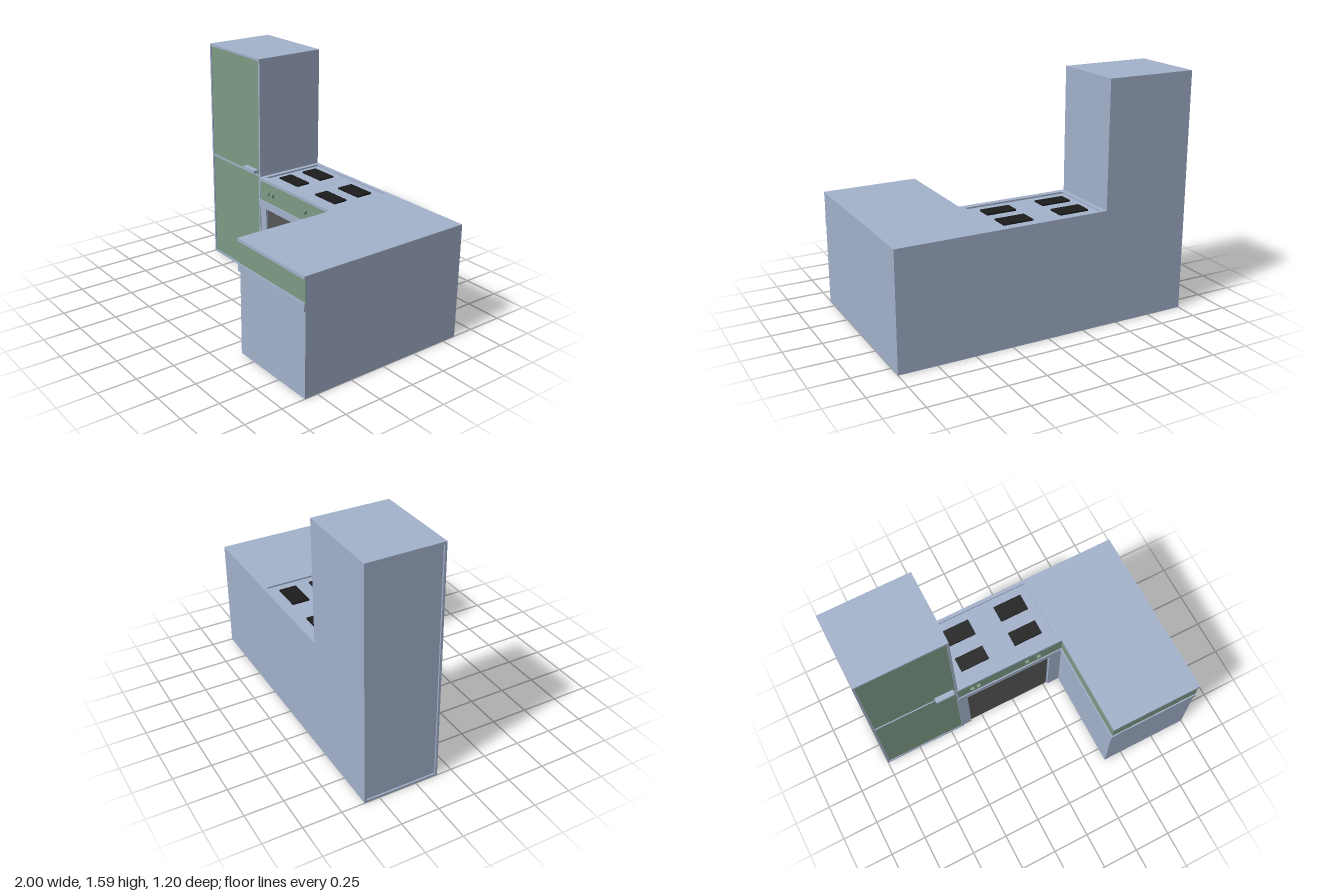
import * as THREE from 'three';

const mat = (color) => new THREE.MeshStandardMaterial({ color });

export function createModel() {
  const root = new THREE.Group();
  const body = mat(0xa3b2cc), green = mat(0x7d9a85), dark = mat(0x565656), black = mat(0x1c1c1c);

  function add(name, geometry, material, parent = root) {
    const mesh = new THREE.Mesh(geometry, material);
    mesh.name = name;
    parent.add(mesh);
    return mesh;
  }

  // Box given by its lower and upper limits on each axis
  function box(name, [x0, x1], [y0, y1], [z0, z1], material, parent) {
    const mesh = add(name, new THREE.BoxGeometry(x1 - x0, y1 - y0, z1 - z0), material, parent);
    mesh.position.set((x0 + x1) / 2, (y0 + y1) / 2, (z0 + z1) / 2);
    return mesh;
  }

  const rect = (x0, x1, y0, y1) => [[x0, y0], [x1, y0], [x1, y1], [x0, y1]];
  const vecs = (points) => points.map((p) => new THREE.Vector2(...p));

  function prism(outline, holes, depth) {
    const shape = new THREE.Shape(vecs(outline));
    holes.forEach((h) => shape.holes.push(new THREE.Path(vecs(h))));
    return new THREE.ExtrudeGeometry(shape, { depth, bevelEnabled: false });
  }

  // Horizontal slab: outline in x and z, raised from y0 to y1
  function slab(name, outline, holes, y0, y1) {
    const geometry = prism(outline, holes, y1 - y0);
    geometry.rotateX(Math.PI / 2).translate(0, y1, 0);
    return add(name, geometry, body);
  }

  // L-shaped plan; lip pushes the inner and front edges outward
  const plan = (lip, notch = []) => [
    [-0.4 - lip, -0.6], [1, -0.6], [1, 0.59 + lip], [0.37 - lip, 0.59 + lip],
    [0.37 - lip, -0.105 + lip], ...notch, [-0.4 - lip, -0.105 + lip],
  ];

  // Base cabinets, with a shallow niche for the oven
  const niche = [[0.28, -0.105], [0.28, -0.12], [-0.34, -0.12], [-0.34, -0.105]];
  slab('lowerCabinet', plan(0, niche), [], 0, 0.555);
  slab('rail', plan(0.01), [], 0.555, 0.605);
  slab('upperCabinet', plan(0), [], 0.605, 0.747);
  box('ovenDoor', [-0.335, 0.27], [0.01, 0.545], [-0.122, -0.115], dark);

  // Green drawer fronts on the three inner faces
  const drawerY = [0.605, 0.747];
  box('ovenFascia', [-0.4, 0.37], drawerY, [-0.11, -0.103], green);
  box('sideDrawerFront', [0.368, 0.374], drawerY, [-0.105, 0.592], green);
  box('endDrawerFront', [0.368, 1], drawerY, [0.586, 0.592], green);

  // Worktop with a sunken hob
  slab('worktop', plan(0.01), [rect(-0.37, 0.335, -0.575, -0.135)], 0.747, 0.767);
  box('hobPlate', [-0.37, 0.335], [0.747, 0.756], [-0.575, -0.135], body);
  for (const x of [-0.32, 0.07]) {
    for (const [z0, z1] of [[-0.515, -0.4], [-0.305, -0.205]]) {
      box('burner', [x, x + 0.2], [0.755, 0.766], [z0, z1], black);
    }
  }

  // Oven knobs
  for (const x of [-0.3, -0.255, 0.105, 0.19]) {
    box('knob', [x - 0.0125, x + 0.0125], [0.663, 0.688], [-0.105, -0.083], green);
  }

  // Tall fridge: core, front frame, recessed doors, framed outer side
  const fridge = new THREE.Group();
  fridge.name = 'fridge';
  root.add(fridge);
  const top = 1.585;
  box('fridgeCore', [-0.99, -0.4], [0, top], [-0.6, -0.11], body, fridge);
  const doors = [[0.015, 0.765], [0.775, 1.57]];
  const openings = doors.map(([y0, y1]) => rect(-0.985, -0.415, y0, y1));
  add('fridgeFrontFrame', prism(rect(-1, -0.4, 0, top), openings, 0.01), body, fridge)
    .position.z = -0.11;
  for (const y of doors) {
    box('fridgeDoor', [-0.985, -0.415], y, [-0.112, -0.106], green, fridge);
  }
  const side = prism(rect(0.11, 0.6, 0, top), [rect(0.115, 0.585, 0.015, 1.57)], 0.01);
  side.rotateY(Math.PI / 2).translate(-1, 0, 0);
  add('fridgeSideFrame', side, body, fridge);
  box('fridgeHandle', [-0.56, -0.43], [0.787, 0.809], [-0.106, -0.07], body, fridge);

  return root;
}
